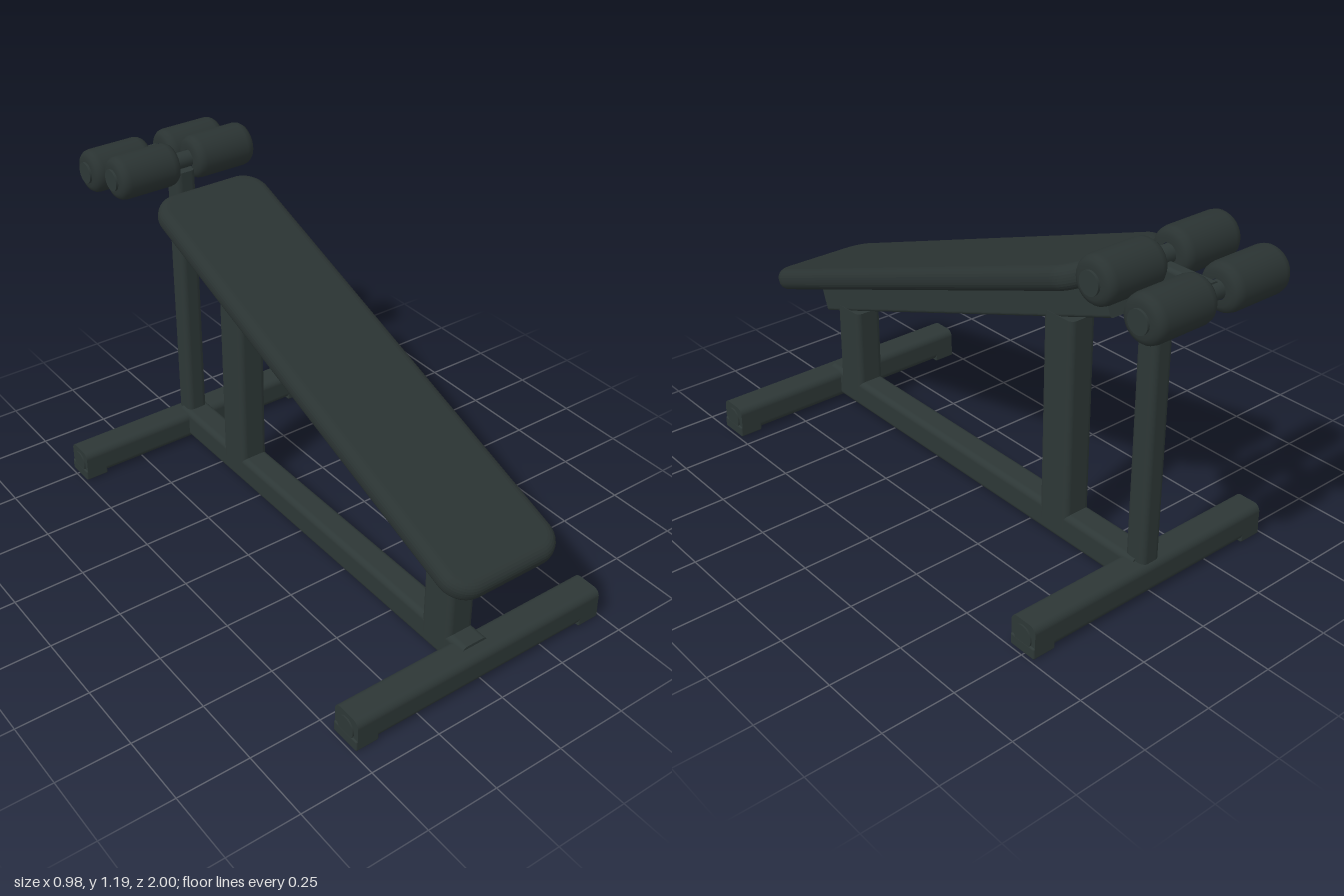
import * as THREE from 'three';
import { RoundedBoxGeometry } from 'three/addons/geometries/RoundedBoxGeometry.js';

export function createModel() {
  const group = new THREE.Group();
  const paint = new THREE.MeshStandardMaterial({ color: 0x2d3736 });
  paint.name = 'frame dark grey';
  const vinyl = new THREE.MeshStandardMaterial({ color: 0x2a3332 });
  vinyl.name = 'padding dark grey';

  const add = (name, geo, mat, x, y, z, parent = group) => {
    const mesh = new THREE.Mesh(geo, mat);
    mesh.name = name;
    mesh.position.set(x, y, z);
    parent.add(mesh);
    return mesh;
  };

  // Rectangle with rounded corners, centred on the origin
  const roundedRect = (w, h, r) => {
    const s = new THREE.Shape();
    const a = w / 2, b = h / 2;
    s.absarc(a - r, b - r, r, 0, Math.PI / 2);
    s.absarc(-a + r, b - r, r, Math.PI / 2, Math.PI);
    s.absarc(-a + r, -b + r, r, Math.PI, Math.PI * 1.5);
    s.absarc(a - r, -b + r, r, Math.PI * 1.5, Math.PI * 2);
    s.closePath();
    return s;
  };

  // Rounded square steel section running along z, centred
  const tube = (w, h, length, r = 0.02) =>
    new THREE.ExtrudeGeometry(roundedRect(w, h, r), {
      depth: length, bevelEnabled: false, curveSegments: 5,
    }).translate(0, 0, -length / 2);

  // Upright section from y0 to y1
  const post = (name, w, d, y0, y1, z) =>
    add(name, tube(w, d, y1 - y0).rotateX(-Math.PI / 2), paint, 0, (y0 + y1) / 2, z);

  // Cross feet with end plugs and floor pads
  for (const [name, z, depth] of [['front', 0.858, 0.11], ['rear', -0.74, 0.104]]) {
    add(name + 'Foot', tube(depth, 0.105, 0.97, 0.025).rotateY(Math.PI / 2), paint, 0, 0.059, z);
    for (const side of [-1, 1]) {
      add(name + 'FootPlug', new THREE.CylinderGeometry(0.037, 0.037, 0.014, 24).rotateZ(Math.PI / 2),
        paint, side * 0.483, 0.058, z);
      add(name + 'FloorPad', new RoundedBoxGeometry(0.085, 0.04, depth, 2, 0.006), paint, side * 0.448, 0.02, z);
    }
  }

  // Floor beam and uprights
  add('floorBeam', tube(0.1, 0.105, 1.61), paint, 0, 0.069, 0.06);
  post('frontPost', 0.102, 0.13, 0.06, 0.405, 0.735);
  post('middlePost', 0.102, 0.13, 0.06, 0.815, -0.385);
  post('rollerPost', 0.075, 0.08, 0.06, 1.09, -0.738);

  // Inclined seat: support beam and cushion share one tilt
  const tilt = 0.352;
  add('inclineBeam', tube(0.1, 0.118, 1.568, 0.012), paint, 0, 0.675, 0.148).rotation.x = tilt;
  const bevel = 0.034;
  const cushion = new THREE.ExtrudeGeometry(roundedRect(0.42 - 2 * bevel, 1.705 - 2 * bevel, 0.055), {
    depth: 0.008, bevelThickness: bevel, bevelSize: bevel, bevelSegments: 6, curveSegments: 8,
  }).translate(0, 0, -0.004).rotateX(-Math.PI / 2);
  add('cushion', cushion, vinyl, 0, 0.765, 0.195).rotation.x = tilt;

  // Leg rollers: foam turned around a cross axle
  const foamProfile = [[0.03, 0.032], [0.05, 0.032], [0.064, 0.038], [0.072, 0.049], [0.075, 0.065],
    [0.075, 0.23], [0.072, 0.246], [0.064, 0.257], [0.05, 0.263], [0.03, 0.263]]
    .map(([r, x]) => new THREE.Vector2(r, x));
  const foam = new THREE.LatheGeometry(foamProfile, 32);
  const axle = new THREE.CylinderGeometry(0.028, 0.028, 0.53, 20).rotateZ(Math.PI / 2);
  const cap = new THREE.CylinderGeometry(0.037, 0.037, 0.016, 24).rotateZ(Math.PI / 2);
  for (const [name, y, z] of [['upper', 1.118, -0.738], ['lower', 1.075, -0.922]]) {
    const rollers = new THREE.Group();
    rollers.name = name + 'Rollers';
    rollers.position.set(0, y, z);
    add('axle', axle, paint, 0, 0, 0, rollers);
    for (const side of [-1, 1]) {
      add('foamRoller', foam, vinyl, 0, 0, 0, rollers).rotation.z = -side * Math.PI / 2;
      add('rollerCap', cap, paint, side * 0.263, 0, 0, rollers);
    }
    group.add(rollers);
  }

  // Arm joining the two axles
  add('rollerArm', tube(0.05, 0.065, 0.2, 0.012), paint, 0, 1.075, -0.83);

  return group;
}
